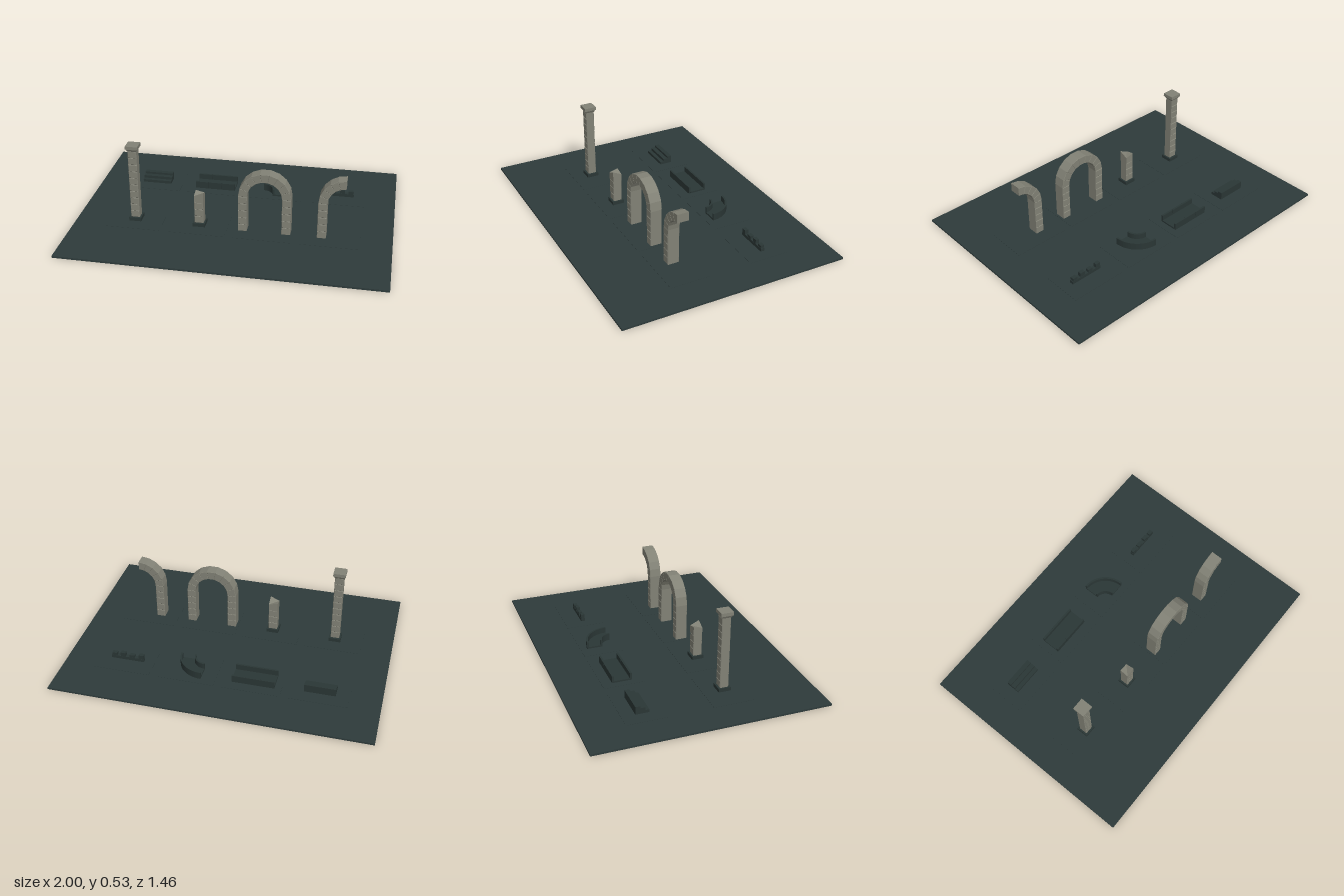
import * as THREE from 'three';

const mat = (name, color) => {
  const m = new THREE.MeshStandardMaterial({ color });
  m.name = name;
  return m;
};

export function createModel() {
  const root = new THREE.Group();
  root.name = 'ruinsKit';
  const slate = mat('slate ground', 0x2e3b3b);
  const kerb = mat('dark kerb stone', 0x2a3635);
  const stone = mat('weathered stone', 0x828276);
  const FLOOR = 0.012, ROW = 0.2, DEPTH = 0.076, BACK = -0.335;

  const group = (name) => {
    const g = new THREE.Group();
    g.name = name;
    root.add(g);
    return g;
  };
  const add = (parent, name, geo, material) => {
    const m = new THREE.Mesh(geo, material);
    m.name = name;
    parent.add(m);
    return m;
  };
  // box given by its min and max corners
  const box = (parent, name, material, x0, x1, y0, y1, z0, z1) =>
    add(parent, name, new THREE.BoxGeometry(x1 - x0, y1 - y0, z1 - z0), material)
      .position.set((x0 + x1) / 2, (y0 + y1) / 2, (z0 + z1) / 2);
  // chamfered stone: an xy outline extruded along z
  const chamfered = (parent, name, pts, zMid, depth, b = 0.003) => {
    const shape = new THREE.Shape(pts.map(([x, y]) => new THREE.Vector2(x, y)));
    const geo = new THREE.ExtrudeGeometry(shape, {
      depth: depth - 2 * b, bevelEnabled: true, bevelSegments: 1,
      bevelSize: b, bevelThickness: b, bevelOffset: -b,
    });
    geo.translate(0, 0, zMid - depth / 2 + b);
    add(parent, name, geo, stone);
  };
  const stack = (parent, x0, x1, y0, y1, n, depth) => {
    const h = (y1 - y0) / n;
    for (let i = 0; i < n; i++) {
      const a = y0 + i * h, c = a + h;
      chamfered(parent, 'block', [[x0, a], [x1, a], [x1, c], [x0, c]], ROW, depth);
    }
  };

  // ground slab and the faint display pads
  box(root, 'ground', slate, -1, 1, 0, FLOOR, -0.73, 0.73);
  for (const z of [ROW, BACK])
    for (const x of [-0.625, -0.21, 0.205, 0.62])
      box(root, 'pad', slate, x - 0.18, x + 0.18, FLOOR - 0.004, FLOOR + 0.0015, z - 0.13, z + 0.13);

  // tall column
  const column = group('column');
  const cx = -0.625;
  box(column, 'plinth', kerb, cx - 0.039, cx + 0.039, FLOOR, 0.036, ROW - 0.039, ROW + 0.039);
  stack(column, cx - 0.028, cx + 0.028, 0.036, 0.498, 10, 0.056);
  const flare = new THREE.CylinderGeometry(0.037 * Math.SQRT2, 0.028 * Math.SQRT2, 0.017, 4, 1).toNonIndexed();
  flare.rotateY(Math.PI / 4);
  flare.computeVertexNormals();
  add(column, 'capitalFlare', flare, stone).position.set(cx, 0.5055, ROW);
  box(column, 'capital', stone, cx - 0.039, cx + 0.039, 0.513, 0.534, ROW - 0.039, ROW + 0.039);

  // broken pillar with a split, slanting top
  const pillar = group('brokenPillar');
  const px = -0.21, r = 0.029;
  box(pillar, 'plinth', kerb, px - 0.039, px + 0.039, FLOOR, 0.036, ROW - 0.039, ROW + 0.039);
  stack(pillar, px - r, px + r, 0.036, 0.18, 3, 2 * r);
  const top = new THREE.BoxGeometry(2 * r, 0.06, 2 * r).toNonIndexed();
  const p = top.attributes.position;
  for (let i = 0; i < p.count; i++) {
    const right = p.getX(i) > 0, front = p.getZ(i) > 0;
    if (p.getY(i) < 0) p.setY(i, 0.18);
    else p.setY(i, right && front ? 0.253 : right || front ? 0.226 : 0.24);
  }
  top.computeVertexNormals();
  add(pillar, 'brokenTop', top, stone).position.set(px, 0, ROW);

  // arches: block legs and wedge stones
  const R = 0.165, r0 = 0.109, SPRING = 0.255;
  const ring = (parent, x, n, from, to) => {
    const at = (rad, t) => [x + rad * Math.cos(t), SPRING + rad * Math.sin(t)];
    for (let i = 0; i < n; i++) {
      const a = from + (to - from) * i / n, b = from + (to - from) * (i + 1) / n;
      chamfered(parent, 'wedgeStone', [at(r0, a), at(R, a), at(R, b), at(r0, b)], ROW, DEPTH, 0.002);
    }
  };
  const arch = group('arch');
  stack(arch, 0.205 - R, 0.205 - r0, FLOOR, SPRING, 5, DEPTH);
  stack(arch, 0.205 + r0, 0.205 + R, FLOOR, SPRING, 5, DEPTH);
  ring(arch, 0.205, 9, 0, Math.PI);
  const half = group('brokenArch');
  stack(half, 0.7 - R, 0.7 - r0, FLOOR, SPRING, 5, DEPTH);
  ring(half, 0.7, 5, Math.PI / 2, Math.PI);

  // stepped kerb
  const steps = group('steps');
  [[-0.32, -0.295, 0.032], [-0.35, -0.32, 0.05], [-0.38, -0.35, 0.064]].forEach(([z0, z1, h]) =>
    box(steps, 'step', kerb, -0.72, -0.525, FLOOR, h, z0, z1));

  // straight channel
  const channel = group('channel');
  box(channel, 'channelFloor', kerb, -0.345, -0.075, FLOOR, 0.024, -0.39, -0.285);
  for (const z of [-0.4, -0.286])
    for (let i = 0; i < 3; i++)
      box(channel, 'channelWall', kerb, -0.345 + i * 0.09, -0.256 + i * 0.09, FLOOR, 0.06, z, z + 0.012);

  // curved channel: quarter rings laid flat
  const bend = group('curvedChannel');
  const quarter = (name, ri, ro, h) => {
    const s = new THREE.Shape();
    s.absarc(0, 0, ro, 0, Math.PI / 2, false);
    s.absarc(0, 0, ri, Math.PI / 2, 0, true);
    const geo = new THREE.ExtrudeGeometry(s, { depth: h - FLOOR, bevelEnabled: false, curveSegments: 8 });
    geo.rotateX(-Math.PI / 2);
    add(bend, name, geo, kerb).position.set(0.117, FLOOR, -0.25);
  };
  quarter('bendFloor', 0.08, 0.162, 0.024);
  quarter('innerWall', 0.07, 0.082, 0.06);
  quarter('outerWall', 0.16, 0.172, 0.06);

  // toothed kerb
  const teeth = group('toothedKerb');
  box(teeth, 'kerbBase', kerb, 0.51, 0.725, FLOOR, 0.034, -0.351, -0.325);
  [0.528, 0.588, 0.648, 0.704].forEach((x, i) =>
    box(teeth, 'tooth', kerb, x - 0.016, x + 0.016, 0.034, i % 2 ? 0.052 : 0.06, -0.35, -0.326));

  return root;
}
